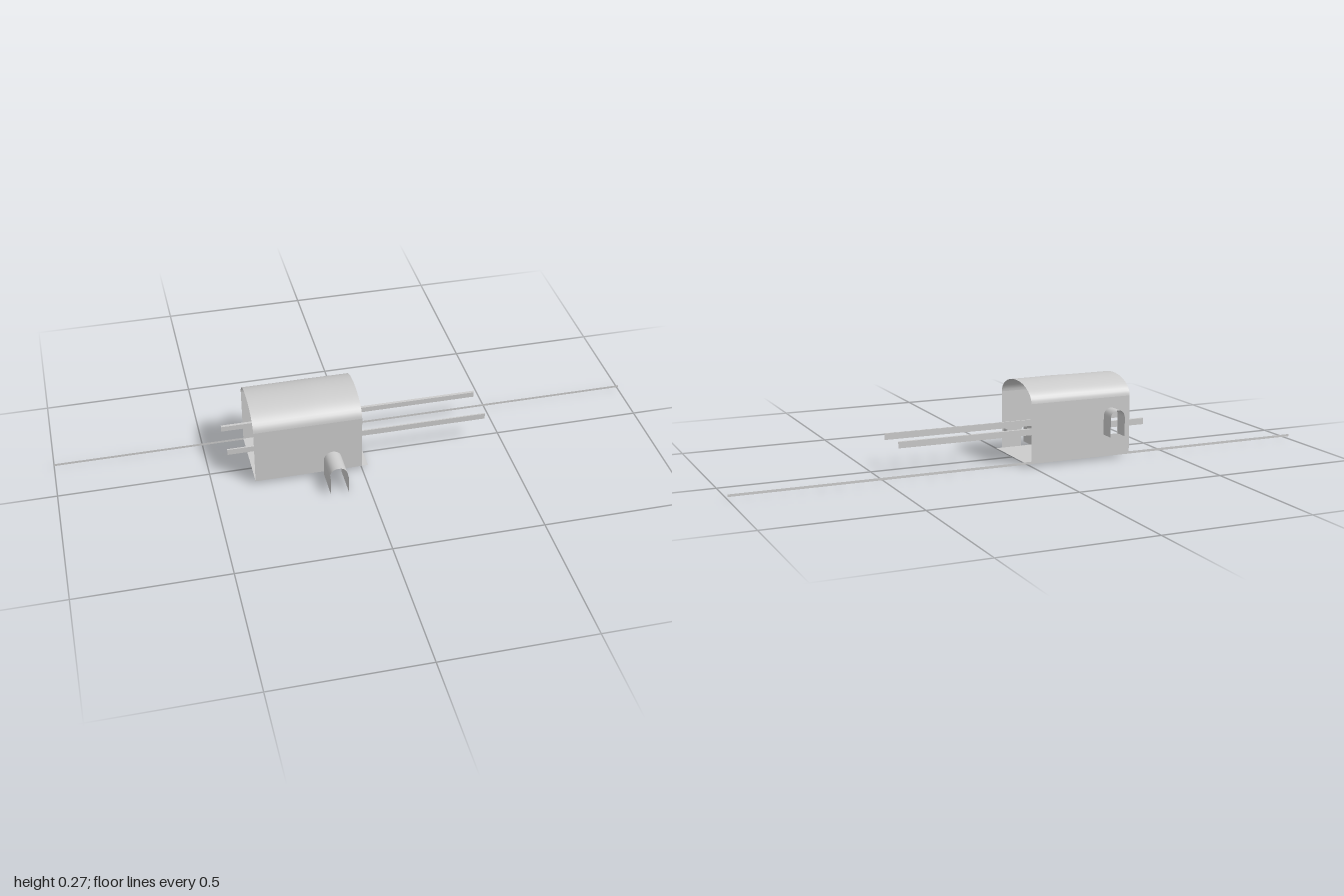
import * as THREE from 'three';

const mat = new THREE.MeshStandardMaterial({ color: 0xcccccc, side: THREE.DoubleSide });

// Tunnel extents
const X0 = -0.36, X1 = 0, ZF = 0.088, ZB = -0.15, FLOOR = 0.013, SPRING = 0.208;

// Round-headed outline: two straight sides with a half-circle on top
function archPoints(cx, halfW, y0, ySpring, steps = 12) {
  const pts = [new THREE.Vector2(cx - halfW, y0)];
  for (let i = 0; i <= steps; i++) {
    const a = Math.PI * (1 - i / steps);
    pts.push(new THREE.Vector2(cx + halfW * Math.cos(a), ySpring + halfW * Math.sin(a)));
  }
  pts.push(new THREE.Vector2(cx + halfW, y0));
  return pts;
}

export function createModel() {
  const model = new THREE.Group();

  const add = (name, geometry, x = 0, y = 0, z = 0) => {
    const mesh = new THREE.Mesh(geometry, mat);
    mesh.name = name;
    mesh.position.set(x, y, z);
    model.add(mesh);
    return mesh;
  };

  // Thin side wall with an arched opening
  const wall = (name, z, opening) => {
    const shape = new THREE.Shape();
    shape.moveTo(X0, FLOOR).lineTo(X1, FLOOR).lineTo(X1, SPRING).lineTo(X0, SPRING);
    shape.holes.push(new THREE.Path(opening));
    add(name, new THREE.ShapeGeometry(shape), 0, 0, z);
  };

  // Open arched passage swept along z
  const passage = (name, outline, z0, zRoof, zSide) => {
    const n = outline.length - 1;
    const g = new THREE.PlaneGeometry(1, 1, n, 1);
    const p = g.attributes.position;
    for (let i = 0; i <= n; i++) {
      const side = i < 2 || i > n - 2;
      p.setXYZ(i, outline[i].x, outline[i].y, side ? zSide : zRoof);
      p.setXYZ(i + n + 1, outline[i].x, outline[i].y, z0);
    }
    g.computeVertexNormals();
    add(name, g);
  };

  // Walls; the door opening stops just above the wall foot
  wall('frontWall', ZF, archPoints(-0.1, 0.029, FLOOR + 0.001, 0.06));
  wall('backWall', ZB, archPoints(-0.29, 0.025, 0.083, 0.147));
  passage('frontDoorPorch', archPoints(-0.1, 0.03, 0, 0.06), ZF, 0.18, 0.198);
  passage('backWindowHood', archPoints(-0.29, 0.026, 0.083, 0.147), ZB, -0.2, -0.2);

  // Half-elliptical roof, swollen very slightly near the middle
  const roof = new THREE.PlaneGeometry(1, 1, 24, 24);
  const p = roof.attributes.position;
  for (let i = 0; i < p.count; i++) {
    const u = p.getX(i) + 0.5, a = Math.PI * (p.getY(i) + 0.5);
    const swell = 1 + 0.02 * Math.exp(-(((u - 0.6) / 0.15) ** 2));
    p.setXYZ(i, X0 + u * (X1 - X0),
      SPRING + 0.06 * swell * Math.sin(a),
      (ZF + ZB) / 2 - (ZF - ZB) / 2 * Math.cos(a));
  }
  roof.computeVertexNormals();
  add('roof', roof);

  // Floor, projecting a little at one end
  add('floor', new THREE.PlaneGeometry(0.38, ZF - ZB).rotateX(-Math.PI / 2),
    -0.17, FLOOR, (ZF + ZB) / 2);

  // Long low strip along the foot of the back wall
  add('groundStrip', new THREE.PlaneGeometry(2, 0.008), 0, FLOOR, ZB);

  // Rails through the tunnel, with a small upright plate beside each
  for (const [z, plateZ, width] of [[0.03, 0.058, 0.005], [-0.1, -0.12, 0.01]]) {
    add('railWeb', new THREE.PlaneGeometry(0.88, 0.022), 0, 0.104, z);
    add('railTop', new THREE.PlaneGeometry(0.88, width).rotateX(-Math.PI / 2), 0, 0.115, z);
    add('railPlate', new THREE.PlaneGeometry(0.036, 0.012).rotateY(Math.PI / 2), 0, 0.079, plateZ);
  }

  return model;
}
